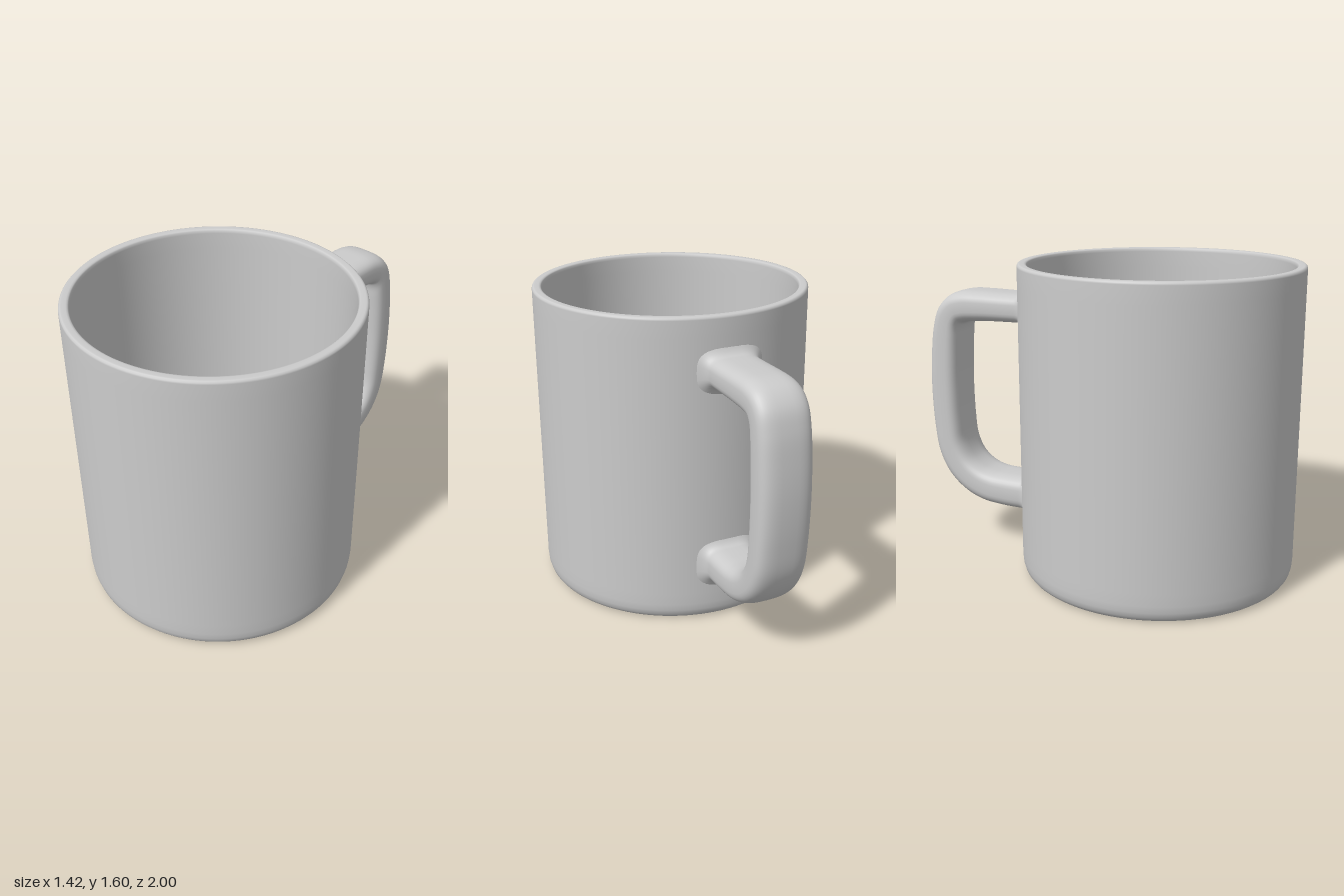
import * as THREE from 'three';

const material = new THREE.MeshStandardMaterial({ color: 0xcccccc });
const R = 0.71;        // cup radius
const CUP_Z = 0.29;    // cup axis

// Cup wall, rim and floor as one closed lathe profile
function makeCup() {
  const profile = [
    [0, 0], [0.64, 0], [0.668, 0], [0.675, 0.003], [0.688, 0.013], [0.7, 0.03], [0.707, 0.055], [R, 0.09], [R, 0.15],
    [R, 1.5], [R, 1.585], [0.708, 1.593], [0.702, 1.599], [0.695, 1.6],
    [0.675, 1.6], [0.667, 1.598], [0.662, 1.593], [0.66, 1.58], [0.66, 1.5],
    [0.66, 0.2], [0.66, 0.15], [0.655, 0.12], [0.64, 0.096], [0.615, 0.082], [0.58, 0.08], [0, 0.08],
  ].map(([x, y]) => new THREE.Vector2(x, y));
  const cup = new THREE.Mesh(new THREE.LatheGeometry(profile, 128), material);
  cup.name = 'cup';
  cup.position.z = CUP_Z;
  return cup;
}

// Handle: rounded sections lofted between an outer and an inner side curve
function makeHandle() {
  // outer z, outer y, inner z, inner y
  const rails = [
    [-0.40, 1.41, -0.40, 1.255], [-0.55, 1.41, -0.55, 1.254], [-0.68, 1.413, -0.68, 1.25],
    [-0.79, 1.41, -0.77, 1.242], [-0.87, 1.385, -0.80, 1.232], [-0.935, 1.32, -0.811, 1.205],
    [-0.97, 1.22, -0.816, 1.14], [-0.99, 1.08, -0.822, 1.03], [-1.0, 0.9, -0.826, 0.88],
    [-0.991, 0.68, -0.821, 0.68], [-0.965, 0.51, -0.808, 0.57], [-0.91, 0.395, -0.765, 0.485],
    [-0.82, 0.305, -0.70, 0.437], [-0.71, 0.25, -0.63, 0.417], [-0.58, 0.23, -0.55, 0.412],
    [-0.40, 0.225, -0.40, 0.41],
  ];
  const curve = (k) => new THREE.CatmullRomCurve3(rails.map((r) => new THREE.Vector3(0, r[k + 1], r[k])));
  const outer = curve(0), inner = curve(2);
  const rows = 160, sides = 40, halfWidth = 0.135;
  const round = (v) => Math.sign(v) * Math.abs(v) ** 0.64;
  const positions = [], index = [];
  for (let i = 0; i <= rows; i++) {
    // rows crowd towards both ends to shape the flare at the wall
    const t = (1 - Math.cos((Math.PI * i) / rows)) / 2;
    const a = outer.getPoint(t), b = inner.getPoint(t);
    const mid = a.clone().add(b).multiplyScalar(0.5);
    const arm = a.clone().sub(b).multiplyScalar(0.5);
    const gap = -mid.z - 0.415;
    const flare = 0.045 * Math.max(0, 1 - Math.max(0, gap) / 0.055) ** 2.4;
    arm.setLength(arm.length() + flare);
    const follow = THREE.MathUtils.clamp(1 - gap / 0.15, 0, 1);
    for (let j = 0; j < sides; j++) {
      const q = (2 * Math.PI * j) / sides;
      const x = round(Math.cos(q)) * (halfWidth + flare);
      const s = round(Math.sin(q));
      // near the cup the sections bend round its wall
      const bend = (R - Math.sqrt(R * R - x * x)) * follow;
      positions.push(x, mid.y + arm.y * s, mid.z + arm.z * s + bend);
      if (i < rows) {
        const k = i * sides + j, n = i * sides + ((j + 1) % sides);
        index.push(k, k + sides, n, n, k + sides, n + sides);
      }
    }
  }
  const geometry = new THREE.BufferGeometry();
  geometry.setAttribute('position', new THREE.Float32BufferAttribute(positions, 3));
  geometry.setIndex(index);
  geometry.computeVertexNormals();
  const handle = new THREE.Mesh(geometry, material);
  handle.name = 'handle';
  return handle;
}

export function createModel() {
  const mug = new THREE.Group();
  mug.name = 'mug';
  mug.add(makeCup(), makeHandle());
  return mug;
}
